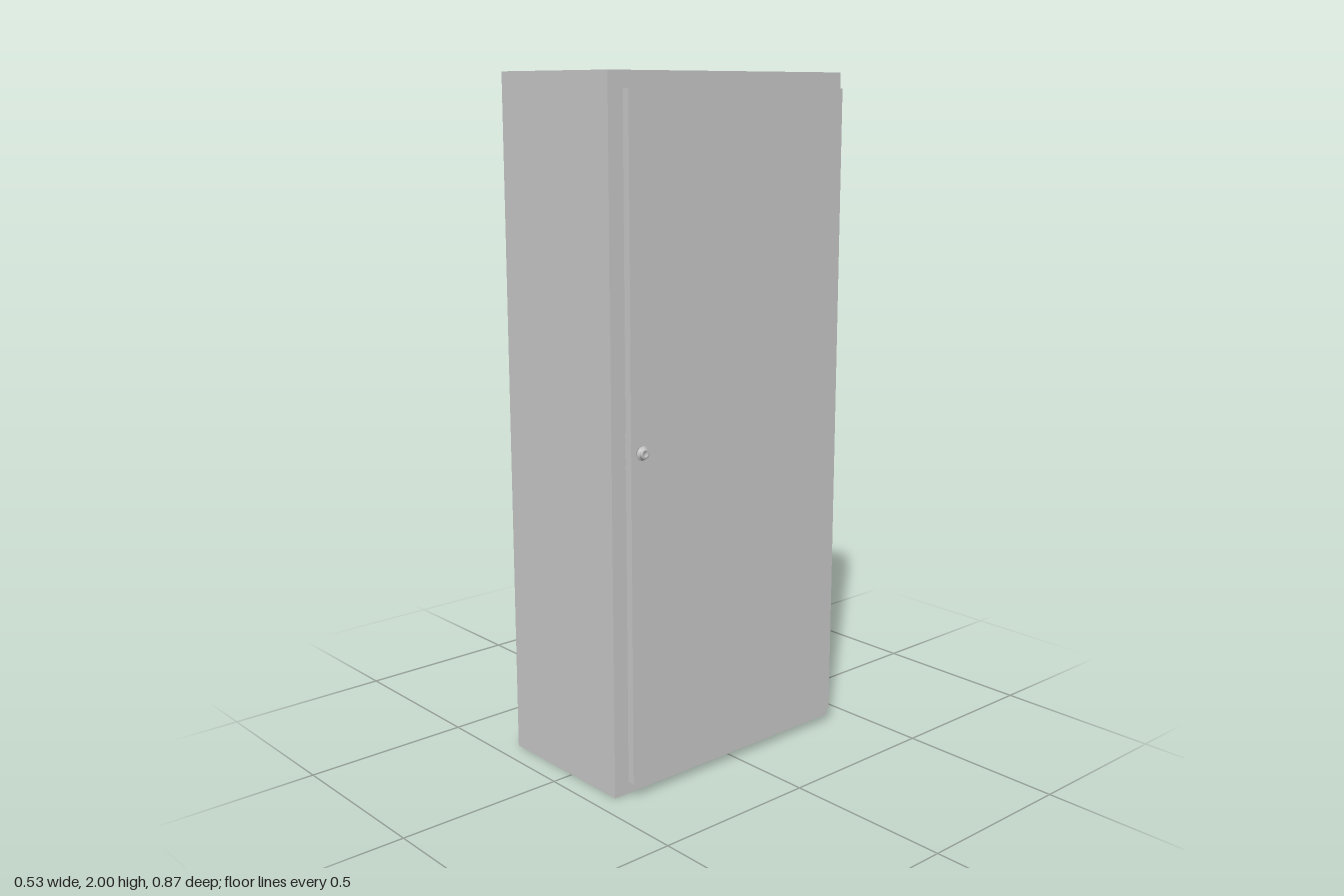
import * as THREE from 'three';

export function createModel() {
  const model = new THREE.Group();
  const mat = new THREE.MeshStandardMaterial({ color: 0xcccccc });

  const add = (name, geometry, parent = model) => {
    const mesh = new THREE.Mesh(geometry, mat);
    mesh.name = name;
    parent.add(mesh);
    return mesh;
  };
  // Box given by its extents on each axis
  const box = (name, [x0, x1], [y0, y1], [z0, z1], parent) => {
    const mesh = add(name, new THREE.BoxGeometry(x1 - x0, y1 - y0, z1 - z0), parent);
    mesh.position.set((x0 + x1) / 2, (y0 + y1) / 2, (z0 + z1) / 2);
    return mesh;
  };
  const rect = (path, z0, z1, y0, y1) =>
    path.moveTo(-z0, y0).lineTo(-z1, y0).lineTo(-z1, y1).lineTo(-z0, y1).closePath();

  // Cabinet body
  box('cabinetBody', [-0.265, 0.2], [0, 2], [-0.435, 0.435]);

  // Door: inner slab, front leaf with a window opening, recessed pane
  const door = new THREE.Group();
  door.name = 'door';
  model.add(door);
  box('doorInnerSlab', [0.199, 0.228], [0.08, 1.92], [-0.34, 0.36], door);
  const leaf = rect(new THREE.Shape(), -0.39, 0.408, 0.052, 1.954);
  leaf.holes.push(rect(new THREE.Path(), -0.275, 0.3, 0.61, 1.815));
  const leafMesh = add('doorLeaf',
    new THREE.ExtrudeGeometry(leaf, { depth: 0.023, bevelEnabled: false }), door);
  leafMesh.rotation.y = Math.PI / 2;
  leafMesh.position.x = 0.227;
  box('doorPane', [0.227, 0.239], [0.605, 1.82], [-0.28, 0.305], door);

  // Round knob with a collar and a dished face
  const profile = [[0, 0], [0.02, 0], [0.02, 0.003], [0.012, 0.004], [0.015, 0.008],
    [0.015, 0.012], [0.013, 0.015], [0.007, 0.015], [0.006, 0.012], [0, 0.012]];
  const knob = add('knob',
    new THREE.LatheGeometry(profile.map(([r, h]) => new THREE.Vector2(r, h)), 24), door);
  knob.rotation.z = -Math.PI / 2;
  knob.position.set(0.25, 1, 0.37);

  // Lock on the door edge: plate, lower catch and a row of pins
  const lock = new THREE.Group();
  lock.name = 'lock';
  model.add(lock);
  box('lockPlate', [0.2, 0.227], [0.915, 1.07], [0.359, 0.38], lock);
  box('lockCatch', [0.2, 0.227], [0.912, 0.924], [0.359, 0.382], lock);
  for (let i = 0; i < 4; i++) {
    const pin = add('lockPin', new THREE.CylinderGeometry(0.006, 0.007, 0.012, 16), lock);
    pin.rotation.x = Math.PI / 2;
    pin.position.set(0.207, 0.955 + i * 0.03, 0.384);
  }
  return model;
}
